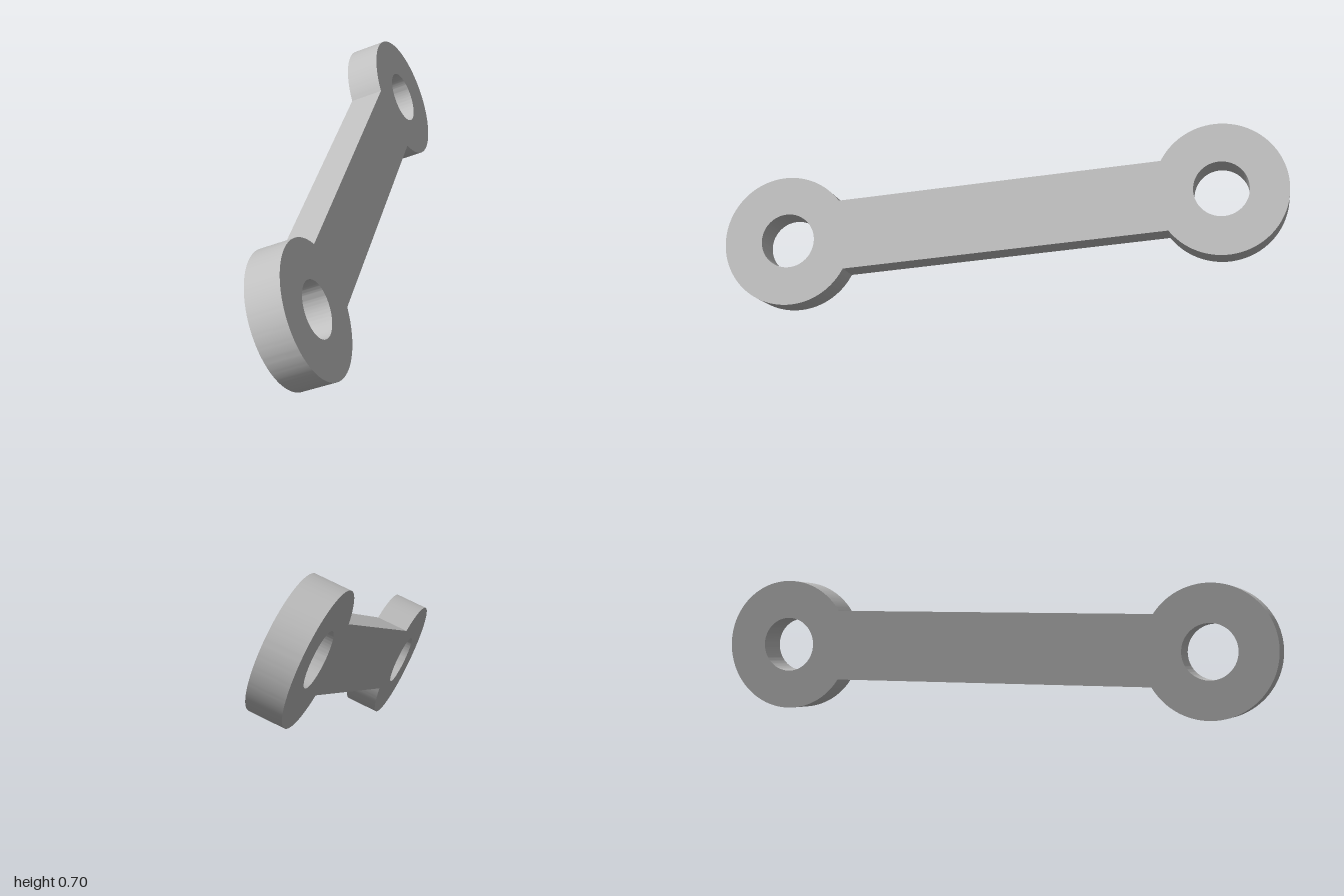
import * as THREE from 'three';
import { toCreasedNormals } from 'three/addons/utils/BufferGeometryUtils.js';

const HALF_SPAN = 0.7766; // bar centre to eye centre
const EYE_R = 0.233;
const HOLE_R = 0.097;
const HALF_WIDTH = 0.125; // half the bar's width
const THICKNESS = 0.125;
const TILT = 0.411; // lean of the plate about z
const SLOPE = 0.157; // rise of the bar within the plate

export function createModel() {
  const group = new THREE.Group();
  group.name = 'linkArm';

  const grey = new THREE.MeshStandardMaterial({ color: 0xbfbfbf });
  grey.name = 'plain grey';

  // Outline: two round eyes joined by a straight bar
  const neck = Math.asin(HALF_WIDTH / EYE_R);
  const outline = new THREE.Shape();
  outline.absarc(HALF_SPAN, 0, EYE_R, neck - Math.PI, Math.PI - neck, false);
  outline.absarc(-HALF_SPAN, 0, EYE_R, neck, 2 * Math.PI - neck, false);
  outline.closePath();

  // Bolt hole in each eye
  for (const side of [-1, 1]) {
    const hole = new THREE.Path();
    hole.absarc(side * HALF_SPAN, 0, HOLE_R, 0, Math.PI * 2, true);
    outline.holes.push(hole);
  }

  const plate = new THREE.ExtrudeGeometry(outline, {
    depth: THICKNESS, bevelEnabled: false, curveSegments: 72,
  });
  plate.translate(0, 0, -THICKNESS / 2);
  const link = new THREE.Mesh(toCreasedNormals(plate, 0.5), grey);
  link.name = 'linkPlate';

  // Lean the plate, with the bar descending towards the front
  const normal = new THREE.Vector3(Math.cos(TILT), Math.sin(TILT), 0);
  const up = new THREE.Vector3(-Math.sin(TILT), Math.cos(TILT), 0);
  const along = new THREE.Vector3(0, 0, Math.cos(SLOPE)).addScaledVector(up, -Math.sin(SLOPE));
  const across = new THREE.Vector3().crossVectors(normal, along);
  link.quaternion.setFromRotationMatrix(new THREE.Matrix4().makeBasis(along, across, normal));
  link.position.y = 0.351;

  group.add(link);
  return group;
}
